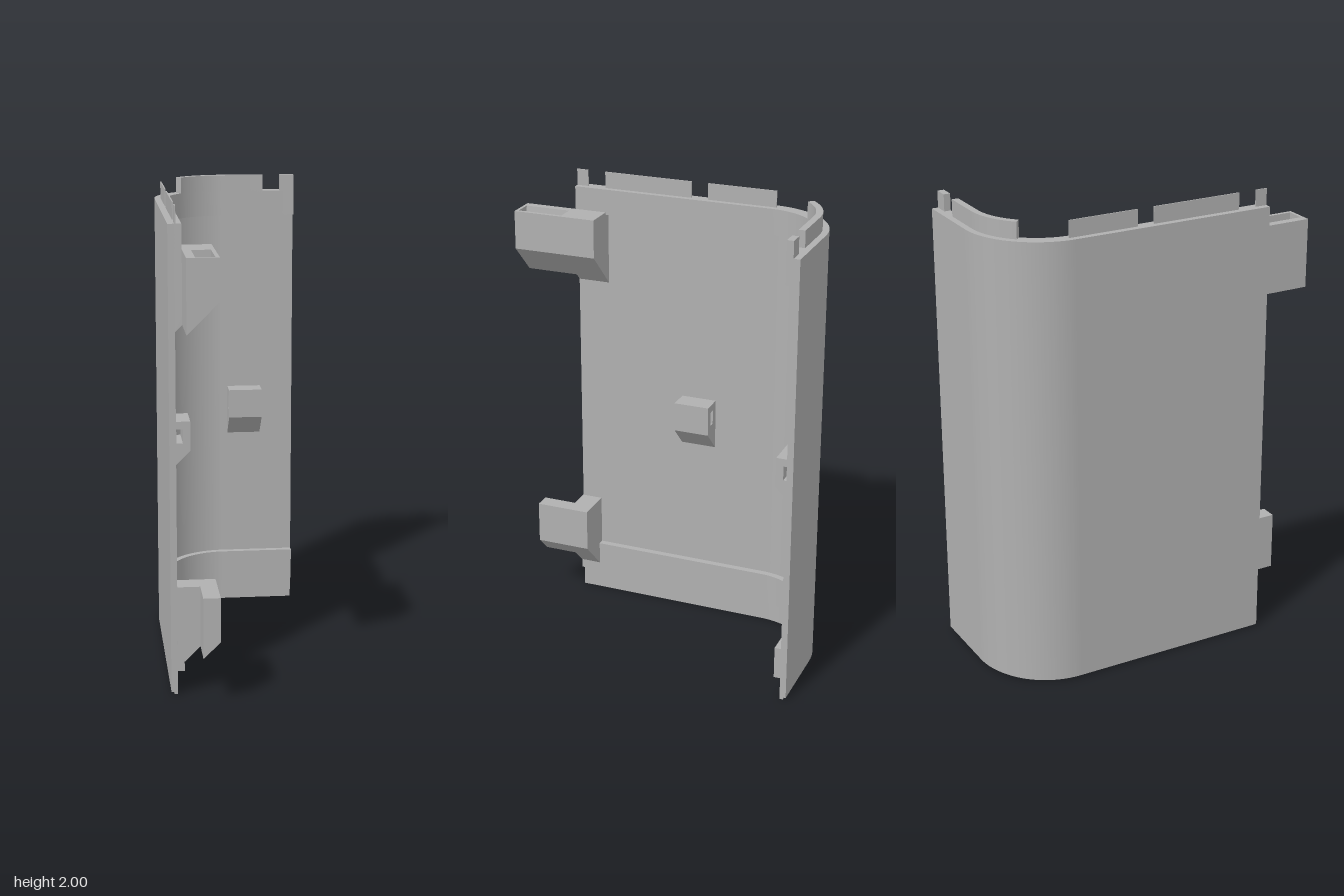
import * as THREE from 'three';
import { toCreasedNormals } from 'three/addons/utils/BufferGeometryUtils.js';

// Main plan dimensions of the bent panel
const SIDE_X = -0.32, FRONT_Z = 0.485, BEND_Z = -0.39, RADIUS = 0.32, END_X = 0.32;
const SKIN = 0.027, RIM = 0.055;

export function createModel() {
  const group = new THREE.Group();
  const grey = new THREE.MeshStandardMaterial({ color: 0xb0b0b0 });
  grey.name = 'grey plastic';

  const add = (name, geometry) => {
    const mesh = new THREE.Mesh(geometry, grey);
    mesh.name = name;
    group.add(mesh);
    return mesh;
  };

  // Raises a plan shape (x, -z) from y0 to y1
  const raise = (shape, y0, y1) => {
    const g = new THREE.ExtrudeGeometry(shape, { depth: y1 - y0, bevelEnabled: false, curveSegments: 32 });
    g.rotateX(-Math.PI / 2).translate(0, y0, 0);
    return toCreasedNormals(g, 0.5);
  };

  // Full J-shaped strip between two depths measured inwards from the outer face
  const strip = (d0, d1, y0, y1) => {
    const s = new THREE.Shape();
    s.moveTo(SIDE_X + d0, -FRONT_Z);
    s.lineTo(SIDE_X + d0, -BEND_Z);
    s.absarc(0, -BEND_Z, RADIUS - d0, Math.PI, Math.PI / 2, true);
    s.lineTo(END_X, -BEND_Z + RADIUS - d0);
    s.lineTo(END_X, -BEND_Z + RADIUS - d1);
    s.lineTo(0, -BEND_Z + RADIUS - d1);
    s.absarc(0, -BEND_Z, RADIUS - d1, Math.PI / 2, Math.PI, false);
    s.lineTo(SIDE_X + d1, -FRONT_Z);
    s.closePath();
    return raise(s, y0, y1);
  };

  // Outer skin and the thicker rims inside it
  add('outerSkin', strip(0, SKIN, 0.01, 1.93));
  add('bottomLip', strip(0.012, SKIN, 0, 0.012));
  add('lowerRim', strip(SKIN - 0.002, RIM, 0.1, 0.24));
  add('upperRim', strip(SKIN - 0.002, RIM, 1.82, 1.93));

  // Thin locating tabs along the top of the side wall
  for (const [z0, z1] of [[0.434, 0.485], [-0.037, 0.355], [-0.41, -0.11]]) {
    const tab = add('sideTab', new THREE.BoxGeometry(0.005, 0.08, z1 - z0));
    tab.position.set(-0.291, 1.96, (z0 + z1) / 2);
  }

  // Curved tab around the corner and small tab at the end of the back wall
  const start = Math.PI - 0.76;
  const curved = new THREE.Shape();
  curved.absarc(0, -BEND_Z, RADIUS - SKIN, start, Math.PI / 2, true);
  curved.lineTo(0.18, -BEND_Z + RADIUS - SKIN);
  curved.lineTo(0.18, -BEND_Z + RADIUS - RIM);
  curved.lineTo(0, -BEND_Z + RADIUS - RIM);
  curved.absarc(0, -BEND_Z, RADIUS - RIM, Math.PI / 2, start, false);
  curved.closePath();
  add('cornerTab', raise(curved, 1.92, 2));
  const endTab = add('endTab', new THREE.BoxGeometry(0.062, 0.08, RIM - SKIN));
  endTab.position.set(0.289, 1.96, BEND_Z - RADIUS + (SKIN + RIM) / 2);

  // Extrudes an x-y profile from z0 to z1, with an optional rectangular hole
  const prism = (points, z0, z1, hole) => {
    const s = new THREE.Shape(points.map(p => new THREE.Vector2(...p)));
    if (hole) s.holes.push(new THREE.Path(hole.map(p => new THREE.Vector2(...p))));
    const g = new THREE.ExtrudeGeometry(s, { depth: z1 - z0, bevelEnabled: false });
    return g.translate(0, 0, z0);
  };

  // Block with a 45 degree sloped underside
  const wedge = (x0, x1, yLow, ySlope, yTop) => [[x0, yLow], [x1, ySlope], [x1, yTop], [x0, yTop]];

  // Small pierced lugs at mid height, one on each wall
  const lug = (x, z0, z1) => prism(wedge(x, x + 0.094, 0.808, 0.902, 1.03), z0, z1,
    [[x + 0.034, 0.935], [x + 0.034, 0.997], [x + 0.062, 0.997], [x + 0.062, 0.935]]);
  add('sideLug', lug(-0.294, -0.155, 0));
  add('backLug', lug(-0.684, -0.172, -0.022).rotateY(-Math.PI / 2));

  // Upper clip: root on the wall, then a slotted arm reaching forward
  const arm = wedge(-0.265, -0.137, 1.535, 1.663, 1.83);
  const slotted = [[-0.265, 1.535], [-0.137, 1.663], [-0.137, 1.83], [-0.153, 1.83],
    [-0.153, 1.72], [-0.215, 1.72], [-0.23, 1.83], [-0.265, 1.83]];
  add('upperClipRoot', prism(wedge(-0.295, -0.137, 1.505, 1.663, 1.83), 0.345, 0.485));
  add('upperClipArm', prism(arm, 0.485, 0.5));
  add('upperClipSlot', prism(slotted, 0.5, 0.7));
  add('upperClipTip', prism(arm, 0.7, 0.713));

  // Lower clip: root on the wall and a narrower tongue reaching forward
  add('lowerClipRoot', prism(wedge(-0.295, -0.13, 0.11, 0.275, 0.46), 0.395, 0.487));
  add('lowerClipTongue', prism(wedge(-0.2, -0.13, 0.205, 0.275, 0.46), 0.487, 0.635));

  return group;
}
